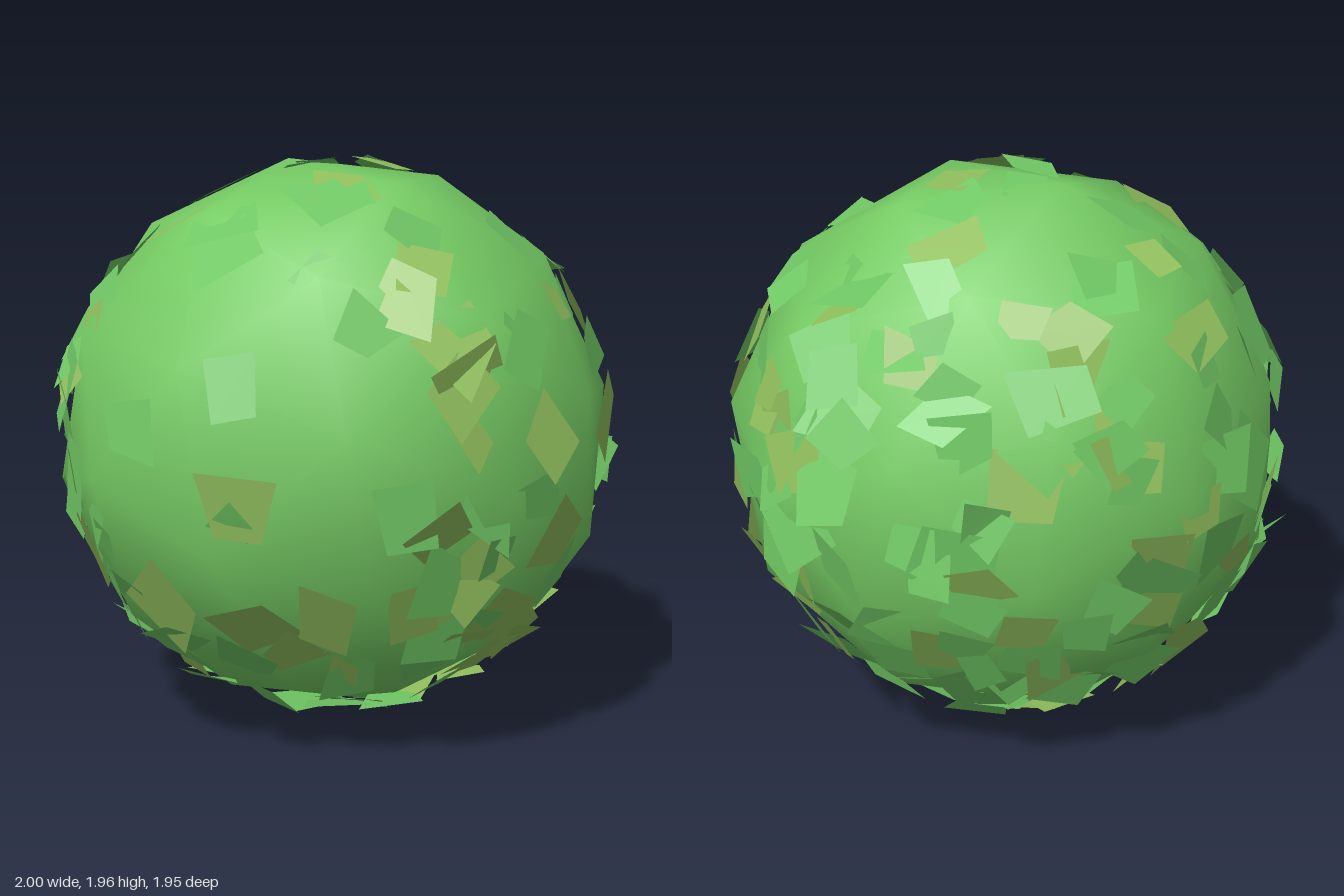
import * as THREE from 'three';
import { mergeGeometries } from 'three/addons/utils/BufferGeometryUtils.js';

const R = 0.97; // crown corner radius
const CENTER = new THREE.Vector3(0.005, 1, 0.01);

// small seeded random generator
let seed = 7;
function rand(a = 0, b = 1) {
  seed = (seed * 16807) % 2147483647;
  return a + (b - a) * (seed / 2147483647);
}

// coarse ball with smooth normals, turned off its axes
function crownGeometry() {
  const up = new THREE.Vector3(-0.2, 0.965, -0.1).normalize();
  const z = new THREE.Vector3(0.927, 0.173, -0.332).cross(up).normalize();
  const x = up.clone().cross(z);
  return new THREE.IcosahedronGeometry(R, 1).applyMatrix4(new THREE.Matrix4().makeBasis(x, up, z));
}

// irregular four-cornered leaf lying roughly on the crown in direction dir
function leafGeometry(dir, tilt, radius) {
  const size = rand(0.075, 0.12);
  const g = new THREE.PlaneGeometry(2, 2);
  const p = g.attributes.position;
  for (let i = 0; i < 4; i++) {
    p.setXY(i, p.getX(i) * size * rand(0.5, 1.3), p.getY(i) * size * rand(0.6, 1.3));
  }
  g.rotateZ(rand(0, Math.PI * 2));
  g.rotateX(rand(-tilt, tilt));
  g.rotateY(rand(-tilt, tilt));
  const q = new THREE.Quaternion().setFromUnitVectors(new THREE.Vector3(0, 0, 1), dir);
  g.applyQuaternion(q);
  const c = dir.clone().multiplyScalar(radius);
  g.translate(c.x, c.y, c.z);
  // keep the corners inside the overall size
  const v = new THREE.Vector3();
  for (let i = 0; i < 4; i++) {
    v.fromBufferAttribute(p, i).clampLength(0, 0.995).clampScalar(-0.965, 0.965);
    p.setXYZ(i, v.x, v.y, v.z);
  }
  return g;
}

// leaf whose tip stands out to a given point
function tipLeaf(x, y, z) {
  const tip = new THREE.Vector3(x, y, z).sub(CENTER);
  const dir = tip.clone().normalize();
  const side = new THREE.Vector3(0.3, 0.8, 0.5).cross(dir).normalize();
  const along = side.clone().cross(dir);
  const at = (s, a, r) => dir.clone().multiplyScalar(r).addScaledVector(side, s).addScaledVector(along, a);
  const g = new THREE.PlaneGeometry(1, 1);
  const corners = [tip, at(0.12, 0.07, 0.94), at(-0.07, 0.16, 0.92), at(0.04, 0.2, 0.89)];
  corners.forEach((c, i) => g.attributes.position.setXYZ(i, c.x, c.y, c.z));
  g.computeVertexNormals();
  return g;
}

// leaves set by hand on the sparse sides: two coordinates and 1 for olive
const FRONT = [
  [-.72, 1.42, 1], [-.22, 1.77, 0], [.1, 1.86, 0], [.43, 1.65, 1], [-.44, 1.15, 0], [-.08, 1.3, 0],
  [.6, 1.28, 1], [.63, 1.14, 1], [-.05, .9, 1], [.47, .93, 0], [-.74, .92, 0], [-.6, .75, 0],
  [-.35, .55, 1], [-.03, .52, 1], [.2, .55, 1], [.45, .58, 1], [-.52, .55, 0], [.7, .42, 1],
];
const TOP = [
  [.13, -.08, 1], [.1, -.26, 0], [-.07, .1, 0], [.12, .32, 1], [.1, .43, 0], [-.42, -.09, 0],
  [-.4, -.42, 0], [.08, -.48, 1], [.68, -.15, 0], [.63, .08, 0], [-.2, .62, 0], [-.62, -.1, 0],
];
const SIDE = [
  [-.05, 1.1, 1], [-.07, 1.34, 0], [.13, 1.5, 1], [-.27, 1.44, 1], [.45, 1.1, 1], [.5, .92, 0],
  [-.28, .91, 0], [-.45, .92, 1], [.35, .76, 1], [.25, .6, 0], [.43, .5, 1], [.28, .32, 1],
  [-.24, .63, 1], [-.56, .7, 0], [-.6, 1.35, 1], [-.62, 1.05, 0],
];

export function createModel() {
  seed = 7;
  const group = new THREE.Group();
  group.name = 'bush';
  const green = [];
  const olive = [];
  const depth = (a, b) => Math.sqrt(Math.max(0, 0.9 - a * a - b * b));
  const place = (x, y, z, isOlive) =>
    (isOlive ? olive : green).push(leafGeometry(new THREE.Vector3(x, y, z).normalize(), 0.15, 0.95));

  for (const [x, y, o] of FRONT) place(x, y - 1, depth(x, y - 1), o);
  for (const [x, z, o] of TOP) place(x, depth(x, z), z, o);
  for (const [z, y, o] of SIDE) place(depth(z, y - 1), y - 1, z, o);

  // scattered leaves over the remaining surface, thinner on the upper front
  const N = 330;
  for (let i = 0; i < N; i++) {
    const y = 1 - (2 * (i + 0.5)) / N;
    const a = i * 2.39996 + rand(-0.3, 0.3);
    const r = Math.sqrt(1 - y * y);
    const dir = new THREE.Vector3(r * Math.cos(a), y, r * Math.sin(a));
    const keep = dir.y < 0 ? 0.95 : dir.z > 0.2 ? 0.55 : 0.8;
    if (rand() > keep || Math.max(dir.x, dir.y, dir.z) > 0.8) continue;
    (rand() < 0.33 ? olive : green).push(leafGeometry(dir, 0.35, rand(0.93, 0.965)));
  }

  // outermost leaf tips
  for (const t of [[-1, .84, -.1], [.995, .99, -.05], [-.1, .005, 0], [-.06, .96, .975],
    [-.1, 1.2, -.975], [0, 1.95, 0]]) green.push(tipLeaf(...t));

  const add = (name, geometry, color, side) => {
    const mesh = new THREE.Mesh(geometry, new THREE.MeshStandardMaterial({ color, side }));
    mesh.name = name;
    mesh.position.copy(CENTER);
    group.add(mesh);
  };
  add('crown', crownGeometry(), 0x76cc64, THREE.FrontSide);
  add('greenLeaves', mergeGeometries(green), 0x70c764, THREE.DoubleSide);
  add('oliveLeaves', mergeGeometries(olive), 0x8fbd5c, THREE.DoubleSide);
  return group;
}
